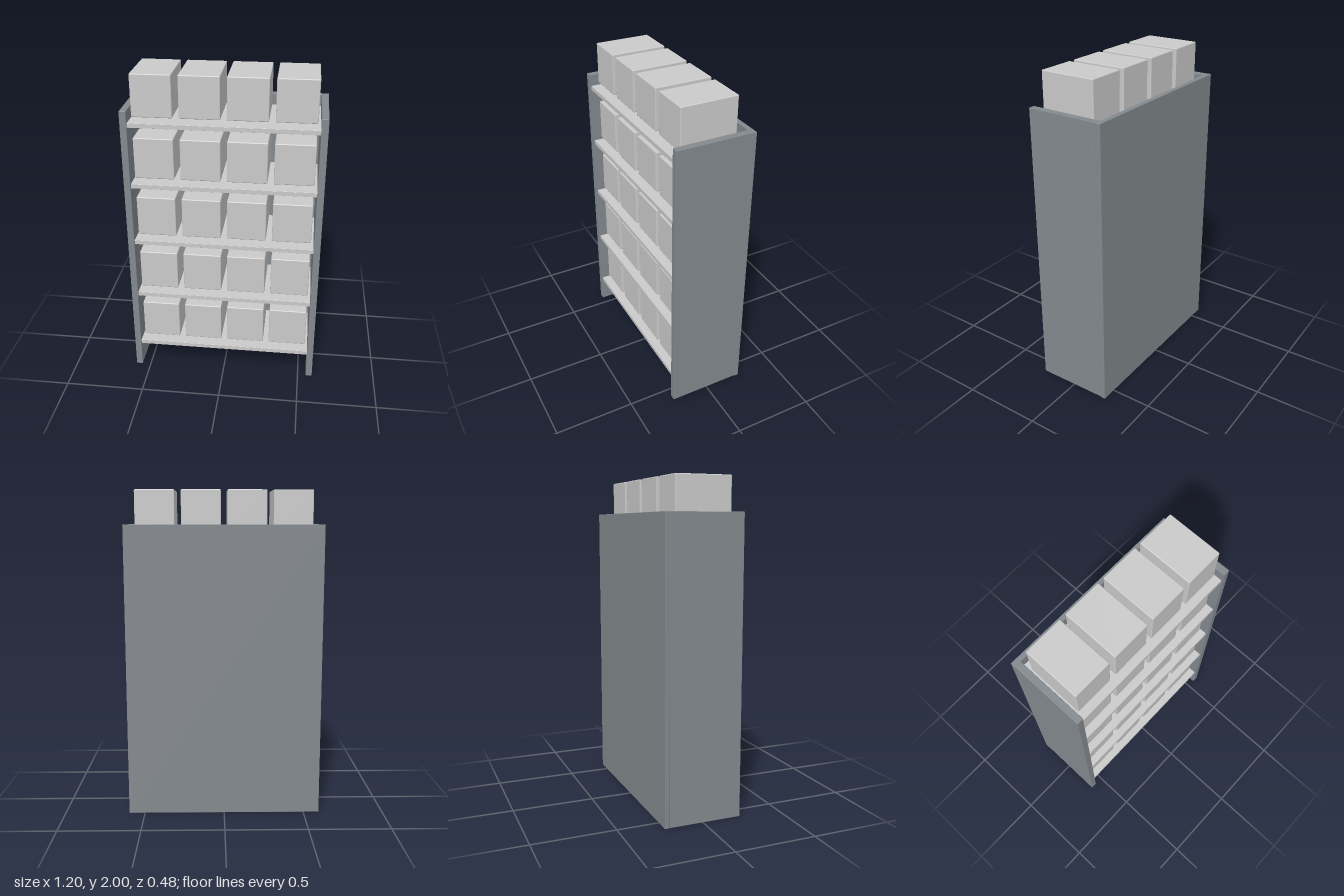
import * as THREE from 'three';
import { RoundedBoxGeometry } from 'three/addons/geometries/RoundedBoxGeometry.js';

export function createModel() {
  const group = new THREE.Group();
  const frameGrey = new THREE.MeshStandardMaterial({ name: 'frame grey', color: 0x83898e });
  const lightGrey = new THREE.MeshStandardMaterial({ name: 'light grey', color: 0xcacaca });

  // Softly edged box given by its min and max on each axis
  function block(name, material, [x0, x1], [y0, y1], [z0, z1], radius) {
    const geometry = new RoundedBoxGeometry(x1 - x0, y1 - y0, z1 - z0, 2, radius);
    const mesh = new THREE.Mesh(geometry, material);
    mesh.name = name;
    mesh.position.set((x0 + x1) / 2, (y0 + y1) / 2, (z0 + z1) / 2);
    group.add(mesh);
  }

  // Rack frame: back and two sides, open at top, front and bottom
  const frameHeight = [0, 1.795];
  block('backPanel', frameGrey, [-0.598, 0.598], frameHeight, [-0.243, -0.212], 0.003);
  block('rightSide', frameGrey, [-0.596, -0.555], frameHeight, [-0.214, 0.241], 0.003);
  block('leftSide', frameGrey, [0.553, 0.594], frameHeight, [-0.214, 0.241], 0.003);

  // Five shelves, each with four boxes held just above it
  const pitch = 0.3825;
  for (let row = 0; row < 5; row++) {
    const y = row * pitch;
    block('shelf', lightGrey, [-0.556, 0.554], [y + 0.165, y + 0.192], [-0.213, 0.231], 0.001);
    for (let col = 0; col < 4; col++) {
      const x = -0.418 + col * 0.278;
      block('storageBox', lightGrey, [x - 0.12, x + 0.12], [y + 0.215, y + 0.47], [-0.157, 0.188], 0.006);
    }
  }
  return group;
}
